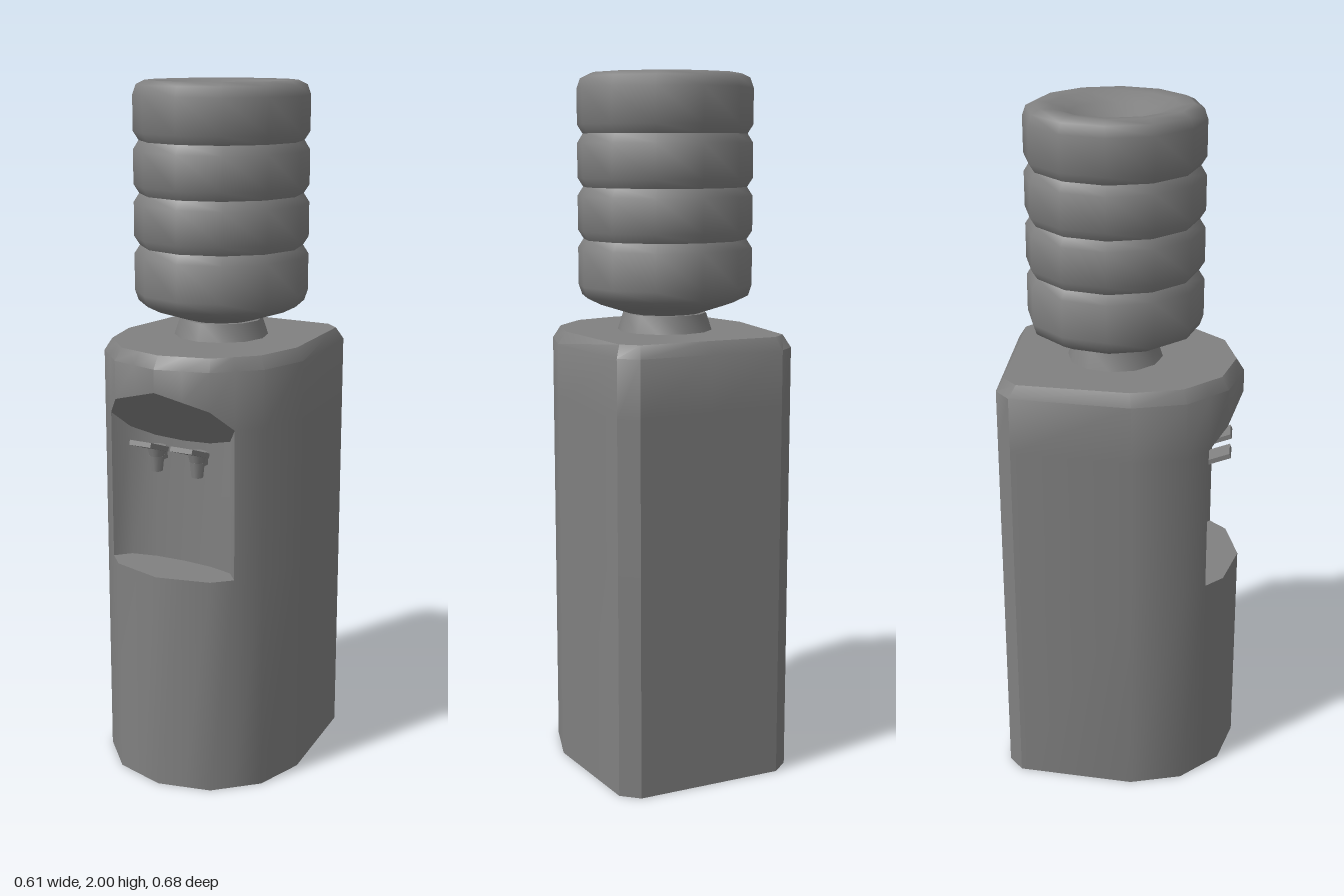
import * as THREE from 'three';
import { toCreasedNormals } from 'three/addons/utils/BufferGeometryUtils.js';

// Mirror the +x half of an outline (front centre first, back last) into a full ring
function ring(half, yOf) {
  const left = half.map(([x, z], i) => [x, yOf(z, i), z]);
  const right = left.slice(1).reverse().map(([x, y, z]) => [-x, y, z]);
  return [...left, ...right];
}

// Skin a stack of rings and close both ends with fans
function loft(rings) {
  const pos = [];
  const V = (p) => new THREE.Vector3(...p);
  const tri = (a, b, c) => {
    const area = V(b).sub(V(a)).cross(V(c).sub(V(a))).length();
    if (area > 1e-7) pos.push(...a, ...b, ...c);
  };
  const n = rings[0].length;
  const first = rings[0], last = rings[rings.length - 1];
  for (let i = 0; i < n; i++) {
    const j = (i + 1) % n;
    for (let k = 0; k < rings.length - 1; k++) {
      const lo = rings[k], hi = rings[k + 1];
      tri(lo[i], lo[j], hi[j]);
      tri(lo[i], hi[j], hi[i]);
    }
    tri([0, first[0][1], 0], first[j], first[i]);
    tri([0, last[0][1], 0], last[i], last[j]);
  }
  const g = new THREE.BufferGeometry();
  g.setAttribute('position', new THREE.Float32BufferAttribute(pos, 3));
  return toCreasedNormals(g, 0.62);
}

export function createModel() {
  const group = new THREE.Group();
  const grey = new THREE.MeshStandardMaterial({ color: 0x808080 });
  grey.name = 'grey plastic';
  const add = (name, geometry, x = 0, y = 0, z = 0, parent = group) => {
    const m = new THREE.Mesh(geometry, grey);
    m.name = name;
    m.position.set(x, y, z);
    parent.add(m);
    return m;
  };

  // Cabinet outlines: full, hollowed for the recess, and inset for the lid
  const back = [[0.262, 0.19], [0.303, 0.04], [0.266, -0.3], [0.216, -0.342], [0, -0.342]];
  const outer = [[0, 0.34], [0.077, 0.32], [0.153, 0.3], [0.2025, 0.25], ...back];
  const hollow = [[0, 0.185], [0.09, 0.19], [0.165, 0.208], [0.2025, 0.25], ...back];
  const inset = [[0, 0.317], [0.072, 0.2985], [0.143, 0.28], [0.189, 0.233], [0.242, 0.178],
    [0.28, 0.035], [0.25, -0.28], [0.205, -0.32], [0, -0.32]];
  // The recess ceiling slopes up toward the front
  const ceiling = (z, i) => (i < 3 ? 1.08 + (z - 0.25) * 1.11 : 1.08);
  add('cabinet', loft([
    ring(outer, () => 0),
    ring(outer, () => 0.645),
    ring(hollow, () => 0.645),
    ring(hollow, ceiling),
    ring(outer, ceiling),
    ring(outer, () => 1.245),
    ring(inset, () => 1.28),
  ]));

  // Collar and bottle, both twelve-sided
  const lathe = (pts) => toCreasedNormals(
    new THREE.LatheGeometry(pts.map((p) => new THREE.Vector2(...p)), 12), 0.87);
  add('collar', lathe([[0.138, 1.275], [0.12, 1.33], [0, 1.33]]), 0, 0, -0.03);

  const profile = [[0, 1.325], [0.1, 1.328], [0.2, 1.36], [0.24, 1.38]];
  for (const y of [1.385, 1.54, 1.687, 1.835]) {
    const bottom = y < 1.4, top = y > 1.8;
    if (!bottom) profile.push([0.234, y]);
    profile.push([0.25, y + 0.025], [0.25, top ? 1.96 : y + (bottom ? 0.13 : 0.122)]);
  }
  // Rounded rim and dimpled end
  profile.push([0.24, 1.988], [0.215, 2.0], [0.175, 1.996], [0.125, 1.975], [0.07, 1.945], [0, 1.935]);
  add('bottle', lathe(profile), 0, 0, -0.03);

  // Two taps: stem from the wall, funnel, spout and tilted lever
  for (const x of [-0.067, 0.067]) {
    const tap = new THREE.Group();
    tap.name = 'tap';
    tap.position.set(x, 0, 0.222);
    group.add(tap);
    add('stem', new THREE.BoxGeometry(0.03, 0.03, 0.06), 0, 0.965, -0.025, tap);
    add('funnel', new THREE.CylinderGeometry(0.028, 0.02, 0.035, 8), 0, 0.975, 0, tap);
    add('spout', new THREE.CylinderGeometry(0.022, 0.017, 0.045, 8), 0, 0.942, 0, tap);
    add('lever', new THREE.BoxGeometry(0.07, 0.014, 0.1), 0, 1.002, 0.04, tap).rotation.x = -0.35;
  }
  return group;
}
